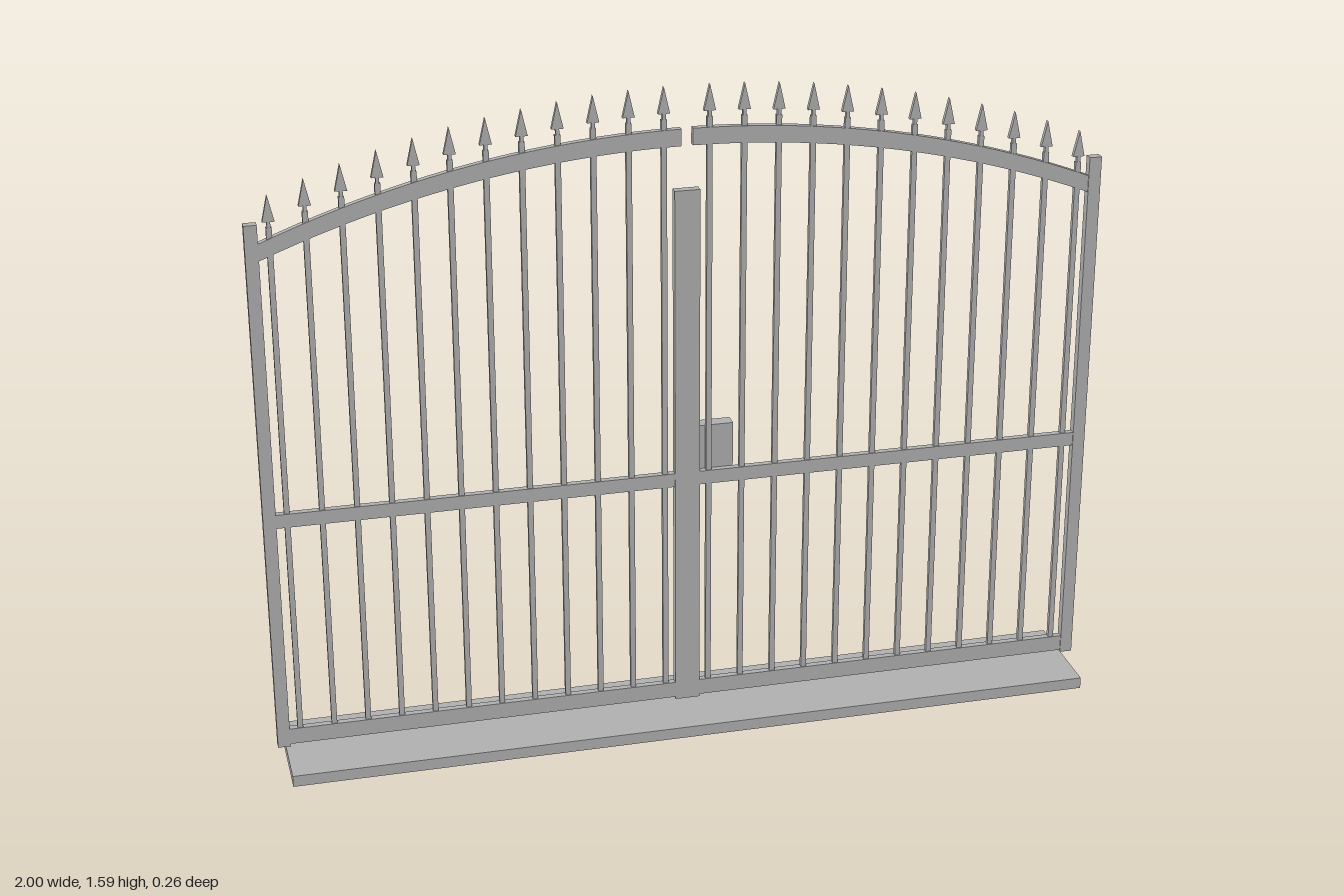
import * as THREE from 'three';

const metal = new THREE.MeshStandardMaterial({ color: 0xb0b0b0 });
metal.name = 'grey metal';

// Radius and centre height of the arch's upper edge
const R = 2.57, TOP = 1.495, RAIL = 0.04;
const archTop = (x) => TOP - R + Math.sqrt(R * R - x * x);

function add(parent, name, geometry, x = 0, y = 0, z = 0) {
  const mesh = new THREE.Mesh(geometry, metal);
  mesh.name = name;
  mesh.position.set(x, y, z);
  parent.add(mesh);
  return mesh;
}

// Box given by its limits on each axis
function block(parent, name, x0, x1, y0, y1, z0, z1) {
  return add(parent, name, new THREE.BoxGeometry(x1 - x0, y1 - y0, z1 - z0),
    (x0 + x1) / 2, (y0 + y1) / 2, (z0 + z1) / 2);
}

// Flat outline extruded evenly about z = 0
function plate(points, depth) {
  const shape = new THREE.Shape(points.map(([x, y]) => new THREE.Vector2(x, y)));
  return new THREE.ExtrudeGeometry(shape, { depth, bevelEnabled: false }).translate(0, 0, -depth / 2);
}

// Curved top rail of one leaf
function archGeometry(side) {
  const upper = [], lower = [], steps = 20;
  for (let i = 0; i <= steps; i++) {
    const x = side * (0.013 + (0.972 - 0.013) * i / steps);
    upper.push([x, archTop(x)]);
    lower.unshift([x, archTop(x) - RAIL]);
  }
  return plate([...upper, ...lower], 0.016);
}

export function createModel() {
  const gate = new THREE.Group();
  gate.name = 'doubleGate';

  // Ground slab and shared middle post
  block(gate, 'baseSlab', -0.98, 0.98, 0, 0.028, -0.13, 0.13);
  block(gate, 'middlePost', -0.03, 0.03, 0.04, 1.35, -0.0105, 0.0105);

  // Spearhead with a narrow neck, origin at the top of its bar
  const spear = plate([[-0.004, -0.005], [0.004, -0.005], [0.004, 0.014],
    [0.014, 0.014], [0, 0.076], [-0.014, 0.014], [-0.004, 0.014]], 0.011);

  for (const side of [-1, 1]) {
    const leaf = new THREE.Group();
    leaf.name = side > 0 ? 'leftLeaf' : 'rightLeaf';
    gate.add(leaf);

    // Hinge post and rails
    const a = side > 0 ? 0.97 : -1;
    block(leaf, 'hingePost', a, a + 0.03, 0.04, 1.35, -0.0105, 0.0105);
    const r = side > 0 ? 0.025 : -0.975;
    block(leaf, 'bottomRail', r, r + 0.95, 0.045, 0.085, -0.008, 0.008);
    block(leaf, 'middleRail', r, r + 0.95, 0.612, 0.646, -0.008, 0.008);
    add(leaf, 'archRail', archGeometry(side));

    // Upright bars topped with spearheads
    for (let i = 0; i < 12; i++) {
      const x = side * (0.053 + 0.081 * i);
      const top = archTop(x) + 0.024;
      block(leaf, 'bar', x - 0.0065, x + 0.0065, 0.06, top, -0.0055, 0.0055);
      add(leaf, 'spearhead', spear, x, top);
    }
  }

  // Lock case on the back of the left leaf
  block(gate, 'lockCase', 0.01, 0.115, 0.63, 0.757, -0.04, -0.007);
  return gate;
}
